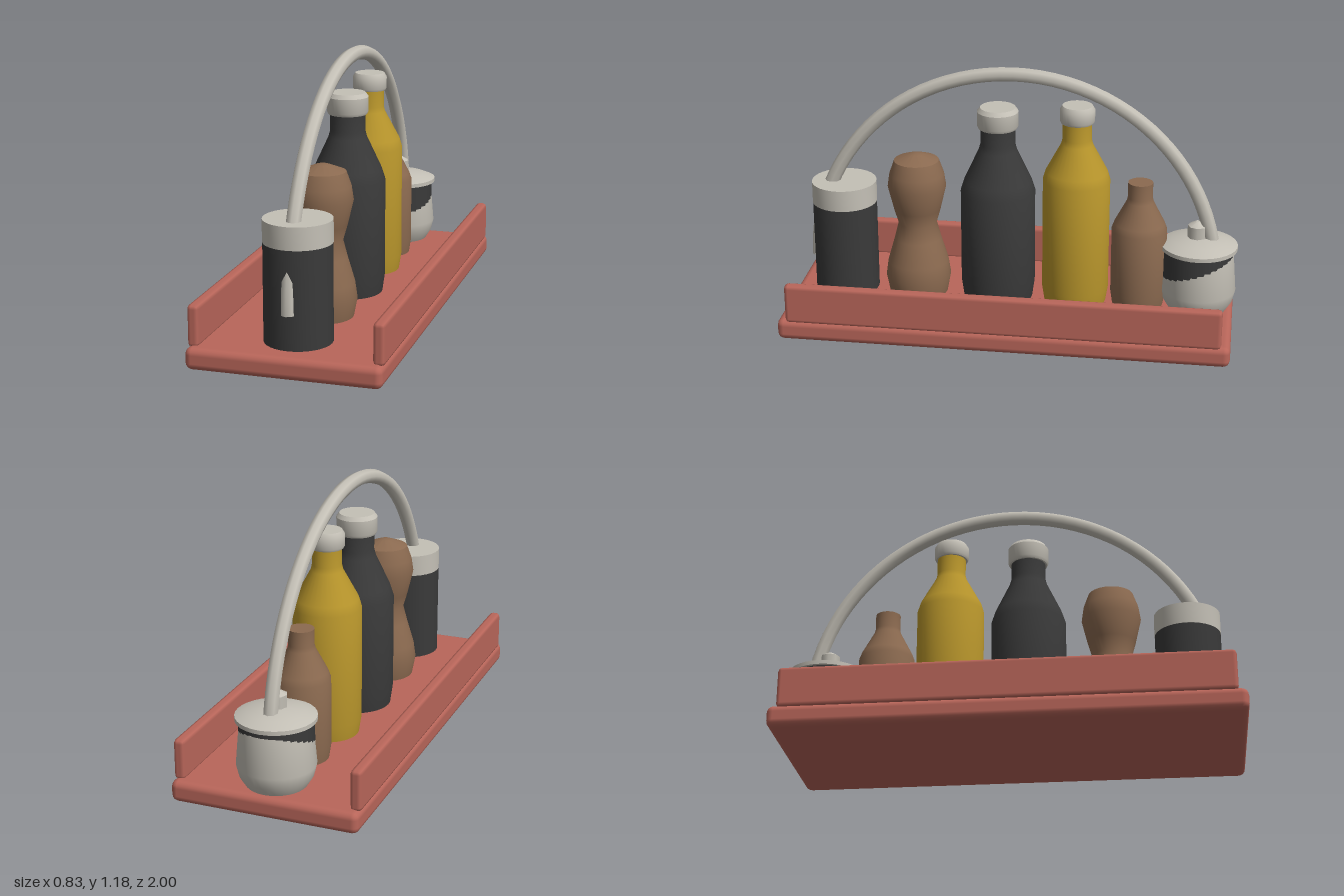
import * as THREE from 'three';
import { toCreasedNormals } from 'three/addons/utils/BufferGeometryUtils.js';
import { RoundedBoxGeometry } from 'three/addons/geometries/RoundedBoxGeometry.js';

const mat = (name, color) => {
  const m = new THREE.MeshStandardMaterial({ color });
  m.name = name;
  return m;
};

export function createModel() {
  const model = new THREE.Group();
  model.name = 'condimentCaddy';

  const red = mat('terracotta', 0xb9665a);
  const black = mat('charcoal', 0x3a3a3a);
  const white = mat('warmGrey', 0xc4c0b6);
  const brown = mat('brown', 0x8b6a50);
  const yellow = mat('mustard', 0xba972c);

  const add = (name, geometry, material, x = 0, y = 0, z = 0, parent = model) => {
    const mesh = new THREE.Mesh(geometry, material);
    mesh.name = name;
    mesh.position.set(x, y, z);
    parent.add(mesh);
    return mesh;
  };

  // Turned part: profile of [radius, height] from bottom to top
  const turned = (name, profile, material, z, parent = model) => {
    const points = profile.map(([r, y]) => new THREE.Vector2(r, y));
    const geometry = toCreasedNormals(new THREE.LatheGeometry(points, 32), 0.6);
    return add(name, geometry, material, 0, 0, z, parent);
  };

  const group = (name) => {
    const g = new THREE.Group();
    g.name = name;
    model.add(g);
    return g;
  };

  // Tray and its two side rails
  add('trayBase', new RoundedBoxGeometry(0.83, 0.095, 1.99, 2, 0.03), red, 0, 0.0525, 0.005);
  for (const side of [1, -1]) {
    add(side > 0 ? 'leftRail' : 'rightRail',
      new RoundedBoxGeometry(0.05, 0.18, 1.91, 1, 0.018), red, side * 0.39, 0.18, 0.005);
  }

  // Semicircular carrying handle, its ends sunk into the end jars
  class Arc extends THREE.Curve {
    getPoint(t, target = new THREE.Vector3()) {
      const a = Math.PI * t;
      return target.set(0, 0.25 + 0.9 * Math.sin(a), 0.9 * Math.cos(a));
    }
  }
  add('handle', new THREE.TubeGeometry(new Arc(), 48, 0.032, 8), white);
  for (const end of [1, -1]) {
    const cap = add('handleEnd', new THREE.CircleGeometry(0.032, 8), white, 0, 0.25, end * 0.9);
    cap.rotation.x = Math.PI / 2;
  }

  // Straight jar at the front
  const jar = group('frontJar');
  turned('frontJarBody', [[0, 0.1], [0.144, 0.1], [0.144, 0.52]], black, 0.77, jar);
  turned('frontJarLid', [[0.144, 0.52], [0.145, 0.52], [0.145, 0.617], [0, 0.617]], white, 0.77, jar);

  // Waisted pepper mill
  turned('pepperMill', [
    [0, 0.1], [0.132, 0.1], [0.147, 0.18], [0.137, 0.25], [0.105, 0.36], [0.086, 0.434],
    [0.105, 0.5], [0.131, 0.61], [0.122, 0.67], [0.1, 0.732], [0.03, 0.76], [0, 0.765],
  ], brown, 0.437);

  // Tall dark bottle with cap
  const dark = group('darkBottle');
  turned('darkBottleGlass', [
    [0, 0.1], [0.155, 0.1], [0.166, 0.18], [0.166, 0.61], [0.15, 0.66],
    [0.085, 0.8], [0.077, 0.83], [0.077, 0.92],
  ], black, 0.07, dark);
  turned('darkBottleCap', [
    [0.07, 0.903], [0.085, 0.903], [0.091, 0.915], [0.091, 0.98], [0.078, 0.998], [0, 0.998],
  ], white, 0.07, dark);

  // Tall mustard bottle with cap
  const oil = group('mustardBottle');
  turned('mustardBottleGlass', [
    [0, 0.1], [0.138, 0.1], [0.149, 0.17], [0.149, 0.68], [0.137, 0.72],
    [0.07, 0.845], [0.064, 0.87], [0.064, 0.96],
  ], yellow, -0.28, oil);
  turned('mustardBottleCap', [
    [0.058, 0.945], [0.072, 0.945], [0.077, 0.955], [0.077, 1.005], [0.066, 1.023], [0, 1.023],
  ], white, -0.28, oil);

  // Small brown bottle
  turned('smallBottle', [
    [0, 0.1], [0.114, 0.1], [0.123, 0.16], [0.123, 0.46], [0.112, 0.49],
    [0.06, 0.59], [0.055, 0.61], [0.055, 0.68], [0, 0.68],
  ], brown, -0.563);

  // Sugar pot at the back: pale bowl over a slightly offset dark liner
  const pot = group('sugarPot');
  turned('sugarPotBowl', [
    [0, 0.1], [0.13, 0.1], [0.155, 0.14], [0.167, 0.19], [0.152, 0.36], [0, 0.36],
  ], white, -0.832, pot);
  turned('sugarPotLiner', [[0, 0.15], [0.1567, 0.2], [0.1567, 0.39]], black, -0.827, pot);
  turned('sugarPotLid', [
    [0.14, 0.385], [0.17, 0.385], [0.17, 0.403], [0.12, 0.423], [0.04, 0.437], [0, 0.437],
  ], white, -0.83, pot);
  add('sugarPotKnob', new THREE.CylinderGeometry(0.044, 0.044, 0.06, 8), white, 0, 0.46, -0.82, pot);
  add('sugarPotKnobTip', new THREE.CylinderGeometry(0.01, 0.044, 0.02, 8), white, 0, 0.5, -0.82, pot);

  return model;
}
